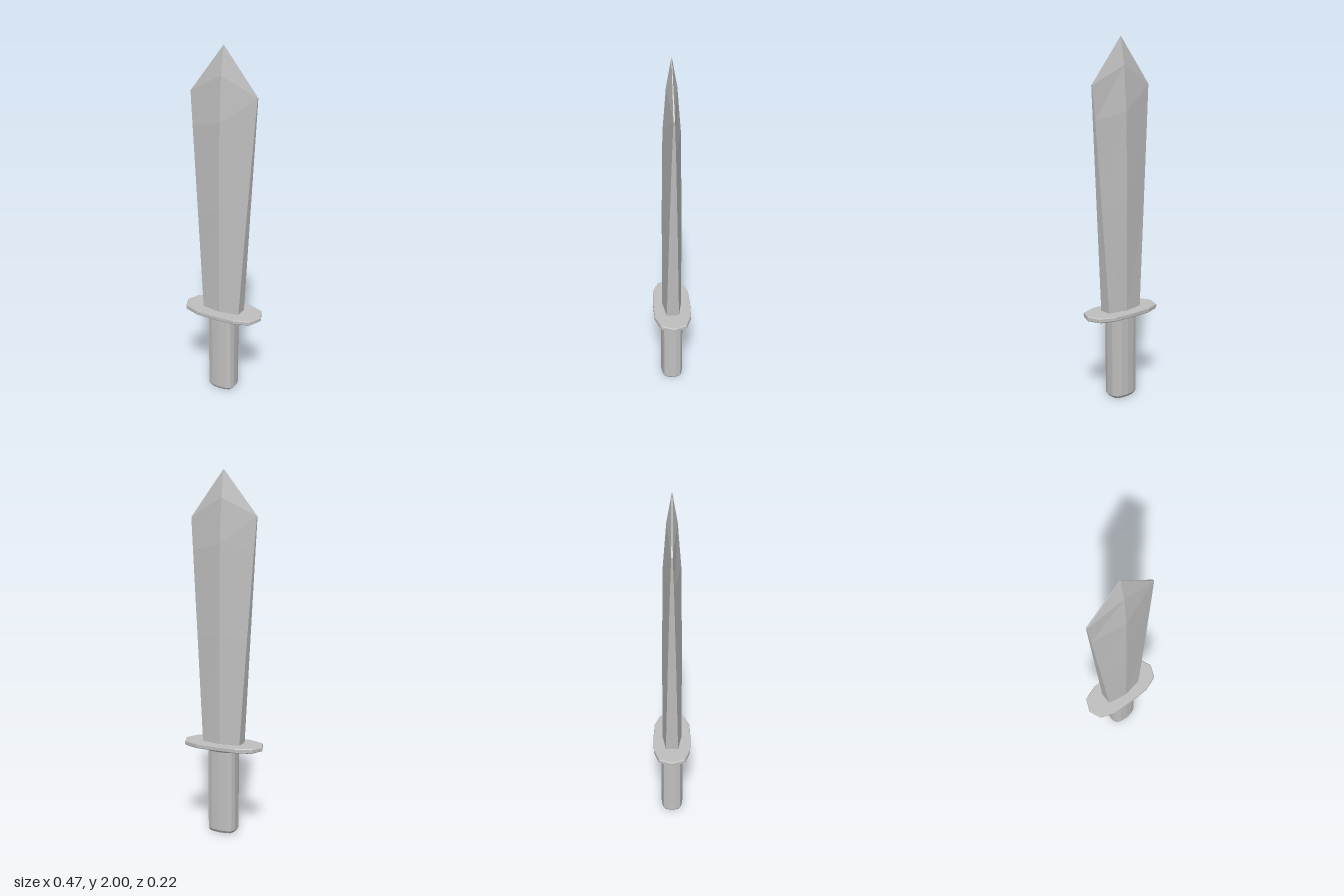
import * as THREE from 'three';

// Mirror a quarter outline [x, y, z] (from +x round to +z) into a closed ring
function ring(quarter) {
  const flipX = quarter.filter(p => p[0] !== 0).reverse().map(([x, y, z]) => [-x, y, z]);
  const half = [...quarter, ...flipX];
  const back = half.filter(p => p[2] !== 0).reverse().map(([x, y, z]) => [x, y, -z]);
  return [...half, ...back];
}

// Skin a stack of rings, bottom to top, and close both ends
function loft(rings) {
  const pos = [];
  const n = rings[0].length;
  const tri = (...corners) => corners.forEach(c => pos.push(...c));
  for (let r = 0; r < rings.length - 1; r++) {
    for (let i = 0; i < n; i++) {
      const j = (i + 1) % n;
      const [a, b, c, d] = [rings[r][i], rings[r][j], rings[r + 1][i], rings[r + 1][j]];
      tri(a, c, b);
      tri(b, c, d);
    }
  }
  const low = rings[0], high = rings[rings.length - 1];
  for (let i = 0; i < n; i++) {
    const j = (i + 1) % n;
    tri([0, low[0][1], 0], low[i], low[j]);
    tri([0, high[0][1], 0], high[j], high[i]);
  }
  const geometry = new THREE.BufferGeometry();
  geometry.setAttribute('position', new THREE.Float32BufferAttribute(pos, 3));
  geometry.computeVertexNormals();
  return geometry;
}

export function createModel() {
  const model = new THREE.Group();
  model.name = 'sword';
  const steel = new THREE.MeshStandardMaterial({ color: 0xc0c0c0, flatShading: true });
  steel.name = 'grey steel';

  const add = (name, rings) => {
    const mesh = new THREE.Mesh(loft(rings), steel);
    mesh.name = name;
    model.add(mesh);
  };
  // Scale a flat quarter outline at a given height
  const level = (outline, y, s) => ring(outline.map(([x, z]) => [x * s, y, z * s]));

  // Blade: [edge y, half width, half edge thickness, ridge y, half ridge thickness]
  const blade = [
    [0.5, 0.112, 0.035, 0.5, 0.055],
    [1.1, 0.151, 0.022, 1.12, 0.054],
    [1.57, 0.183, 0.01, 1.61, 0.047],
    [1.75, 0.196, 0.004, 1.85, 0.028],
    [1.999, 0.001, 0.001, 2, 0.001],
  ];
  add('blade', blade.map(([ey, w, e, ry, t]) => ring([[w, ey, e], [0, ry, t]])));

  // Guard: thin faceted oval plate with a slight bevel
  const guard = [[0.237, 0], [0.207, 0.072], [0.12, 0.104], [0, 0.108]];
  add('guard', [
    level(guard, 0.486, 0.98), level(guard, 0.49, 1),
    level(guard, 0.507, 1), level(guard, 0.512, 0.98),
  ]);

  // Grip: faceted handle, bevelled at the foot and flared under the guard
  const grip = [[0.081, 0.022], [0.071, 0.048], [0.043, 0.059], [0, 0.064]];
  add('grip', [
    level(grip, 0, 0.86), level(grip, 0.015, 1),
    level(grip, 0.468, 1), level(grip, 0.488, 1.3),
  ]);

  return model;
}
